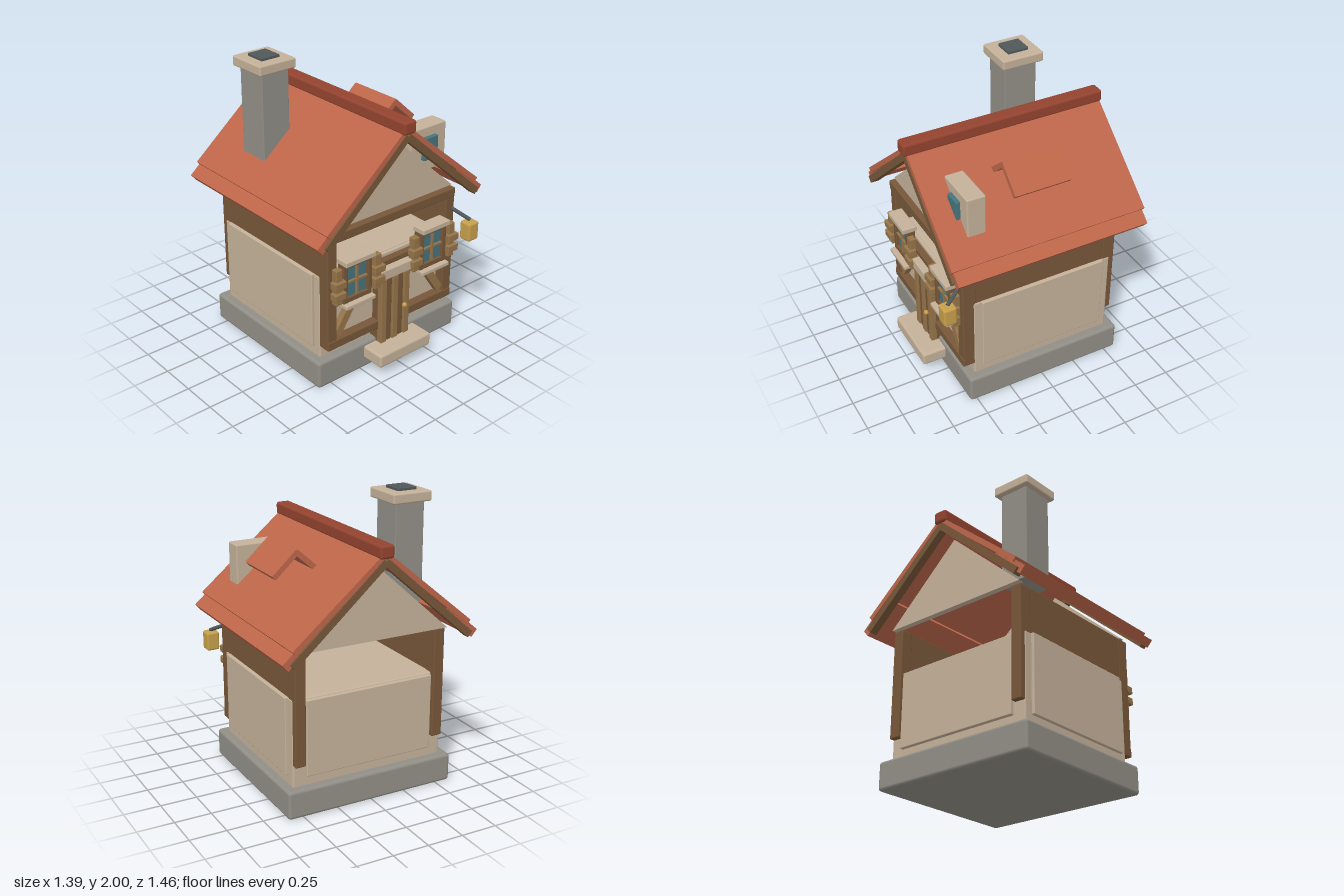
import * as THREE from 'three';
import { RoundedBoxGeometry } from 'three/addons/geometries/RoundedBoxGeometry.js';

const mat = (name, color) => {
  const m = new THREE.MeshStandardMaterial({ color });
  m.name = name;
  return m;
};

export function createModel() {
  const model = new THREE.Group();
  model.name = 'cottage';
  const plaster = mat('plaster', 0xc4b199);
  const stone = mat('stone', 0x918e86);
  const timber = mat('dark timber', 0x775739);
  const wood = mat('light wood', 0x957449);
  const tile = mat('roof tile', 0xbd664a);
  const ridgeRed = mat('ridge red', 0x93432f);
  const glass = mat('glass', 0x47747e);
  const iron = mat('iron', 0x50585a);
  const gold = mat('gold', 0xc69f4b);

  const add = (name, geometry, material, parent = model) => {
    const m = new THREE.Mesh(geometry, material);
    m.name = name;
    parent.add(m);
    return m;
  };
  // Rounded block given by its limits on each axis
  const block = (name, material, [x0, x1], [y0, y1], [z0, z1], r = 0.008, parent = model) => {
    const w = x1 - x0, h = y1 - y0, d = z1 - z0;
    const g = new RoundedBoxGeometry(w, h, d, 2, Math.min(r, w / 3, h / 3, d / 3));
    const m = add(name, g, material, parent);
    m.position.set((x0 + x1) / 2, (y0 + y1) / 2, (z0 + z1) / 2);
    return m;
  };
  // Board running between two points in the xy plane, centred on that line
  const board = (name, material, [xa, ya], [xb, yb], thick, [z0, z1], parent = model) => {
    const len = Math.hypot(xb - xa, yb - ya);
    const m = add(name, new THREE.BoxGeometry(len, thick, z1 - z0), material, parent);
    m.position.set((xa + xb) / 2, (ya + yb) / 2, (z0 + z1) / 2);
    m.rotation.z = Math.atan2(yb - ya, xb - xa);
    return m;
  };
  const span = (a, b) => [Math.min(a, b), Math.max(a, b)];

  // Base, step and plaster body
  block('foundation', stone, [-0.608, 0.608], [0, 0.195], [-0.585, 0.55], 0.022);
  block('doorStep', plaster, [-0.225, 0.225], [0.075, 0.17], [0.45, 0.715], 0.018);
  block('wallBody', plaster, [-0.55, 0.55], [0.18, 0.79], [-0.525, 0.49], 0.012);
  block('frontPanel', plaster, [-0.46, 0.46], [0.26, 0.78], [0.46, 0.51], 0.006);
  block('backPanel', plaster, [-0.46, 0.46], [0.26, 0.78], [-0.55, -0.5], 0.006);

  // Timber frame and side walls
  for (const s of [-1, 1]) {
    block('sidePanel', plaster, span(s * 0.52, s * 0.57), [0.26, 0.79], [-0.465, 0.435], 0.006);
    block('sideWall', timber, span(s * 0.475, s * 0.544), [0.4, 1.1], [-0.54, 0.53], 0.004);
    block('frontPost', timber, span(s * 0.47, s * 0.546), [0.275, 1.095], [0.47, 0.565]);
    block('backPost', timber, span(s * 0.47, s * 0.546), [0.34, 1.1], [-0.56, -0.47]);
    board('brace', wood, [s * 0.455, 0.355], [s * 0.265, 0.64], 0.055, [0.5, 0.555]);
  }
  block('topBeam', timber, [-0.546, 0.546], [1.035, 1.1], [0.49, 0.57]);
  block('bottomBeam', timber, [-0.546, 0.546], [0.272, 0.335], [0.48, 0.57]);
  block('middleBeam', timber, [-0.5, 0.5], [0.715, 0.757], [0.48, 0.555]);

  // Gables
  const tri = new THREE.Shape([[-0.55, 1.105], [0.55, 1.105], [0, 1.6]].map(p => new THREE.Vector2(...p)));
  for (const z of [0.49, -0.58]) {
    const g = new THREE.ExtrudeGeometry(tri, { depth: 0.04, bevelEnabled: false });
    add('gable', g, plaster).position.z = z;
  }

  // Roof: main slopes, lower eave course and bargeboards
  for (const s of [-1, 1]) {
    board('roofSlope', tile, [0, 1.69], [s * 0.625, 1.168], 0.036, [-0.712, 0.672]);
    board('eaveCourse', tile, [s * 0.46, 1.268], [s * 0.678, 1.082], 0.06, [-0.7, 0.657]);
    for (const z of [[0.62, 0.676], [-0.716, -0.66]])
      board('bargeboard', timber, [0, 1.645], [s * 0.635, 1.085], 0.048, z);
  }
  block('ridge', ridgeRed, [-0.05, 0.05], [1.665, 1.752], [-0.728, 0.695], 0.018);

  // Chimney
  block('chimneyStack', stone, [-0.465, -0.255], [1.235, 1.93], [-0.4, -0.17], 0.006);
  block('chimneyCap', plaster, [-0.5, -0.217], [1.913, 1.982], [-0.435, -0.138], 0.012);
  block('chimneyFlue', iron, [-0.43, -0.29], [1.96, 2], [-0.362, -0.213], 0.005);

  // Dormer with its small roof
  block('dormerBox', plaster, [0.195, 0.503], [1.258, 1.565], [0.368, 0.497], 0.01);
  block('dormerGlass', glass, [0.29, 0.41], [1.345, 1.5], [0.48, 0.525], 0.005);
  board('dormerRoof', tile, [0.345, 1.64], [0.512, 1.488], 0.036, [-0.22, 0.18]);
  board('dormerRoof', tile, [0.358, 1.64], [0.2, 1.5], 0.036, [-0.22, 0.18]);

  // Plank door
  block('doorLintel', plaster, [-0.14, 0.14], [0.645, 0.718], [0.5, 0.605]);
  block('doorBack', timber, [-0.122, 0.122], [0.17, 0.648], [0.49, 0.58], 0.004);
  for (let i = 0; i < 5; i++) {
    const x = -0.1 + i * 0.05;
    block('doorPlank', i % 2 ? timber : wood, [x - 0.023, x + 0.023], [0.17, 0.645], [0.56, i % 2 ? 0.592 : 0.602], 0.005);
  }
  add('doorKnob', new THREE.SphereGeometry(0.017, 16, 10), gold).position.set(0.072, 0.4, 0.612);

  // Windows with shutters
  for (const s of [-1, 1]) {
    const win = new THREE.Group();
    win.name = 'window';
    win.position.x = s * 0.328;
    model.add(win);
    const part = (name, m, x, y, z, r = 0.006) => block(name, m, x, y, z, r, win);
    part('windowSill', plaster, [-0.122, 0.122], [0.573, 0.602], [0.53, 0.637]);
    part('windowHead', plaster, [-0.122, 0.122], [0.877, 0.914], [0.53, 0.632]);
    for (const t of [-1, 1]) {
      part('frameSide', timber, span(t * 0.083, t * 0.118), [0.6, 0.88], [0.54, 0.602]);
      part('shutter', wood, span(t * 0.135, t * 0.187), [0.617, 0.868], [0.565, 0.612]);
      for (const y of [0.685, 0.765])
        part('shutterSlat', wood, span(t * 0.117, t * 0.208), [y - 0.025, y + 0.025], [0.575, 0.632]);
    }
    for (const y of [[0.6, 0.637], [0.847, 0.88]]) part('frameRail', timber, [-0.118, 0.118], y, [0.54, 0.6]);
    part('pane', glass, [-0.09, 0.09], [0.63, 0.852], [0.55, 0.582], 0.003);
    part('muntin', wood, [-0.009, 0.009], [0.63, 0.85], [0.57, 0.597], 0.003);
    part('muntin', wood, [-0.088, 0.088], [0.733, 0.751], [0.57, 0.596], 0.003);
  }

  // Lantern on its bracket
  block('lantern', gold, [0.533, 0.625], [0.752, 0.885], [0.637, 0.728], 0.016);
  const a = new THREE.Vector3(0.52, 0.955, 0.565), b = new THREE.Vector3(0.583, 0.892, 0.685);
  const arm = add('lanternBracket', new THREE.CylinderGeometry(0.013, 0.013, a.distanceTo(b), 10), iron);
  arm.position.copy(a).lerp(b, 0.5);
  arm.quaternion.setFromUnitVectors(new THREE.Vector3(0, 1, 0), b.clone().sub(a).normalize());

  return model;
}
